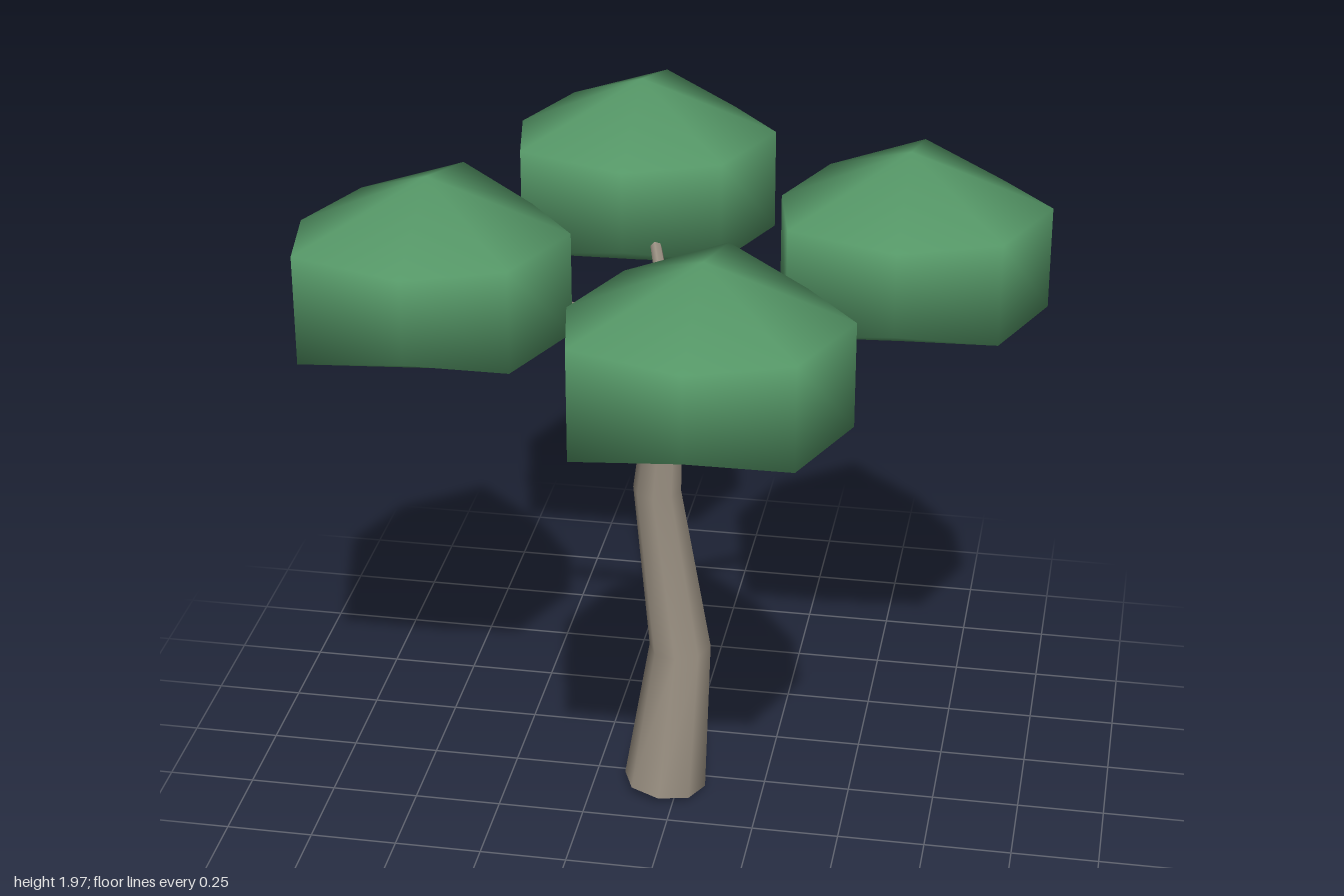
import * as THREE from 'three';
import { mergeVertices } from 'three/addons/utils/BufferGeometryUtils.js';

const bark = new THREE.MeshStandardMaterial({ color: 0x9a9082 });
const leaf = new THREE.MeshStandardMaterial({ color: 0x579a69 });

// Drop normals and uvs, weld the vertices and shade smoothly
function smooth(geometry) {
  geometry.deleteAttribute('normal');
  geometry.deleteAttribute('uv');
  const welded = mergeVertices(geometry, 1e-4);
  welded.computeVertexNormals();
  return welded;
}

function addMesh(parent, name, geometry, material) {
  const mesh = new THREE.Mesh(geometry, material);
  mesh.name = name;
  parent.add(mesh);
  return mesh;
}

// Bent trunk: a cylinder whose rings move to [x, y, z, radius, tiltX, tiltZ]
const SIDES = 8;
const rings = [
  [-0.04, 0.017, 0.055, 0.12, -0.1, 0.06],
  [0, 0.465, 0.025, 0.09, 0.05, 0],
  [-0.067, 0.97, 0.02, 0.069, 0, 0],
  [-0.025, 1.46, 0.045, 0.042, 0, 0],
];

function ringPoint([x, y, z, r, tiltX, tiltZ], px, pz) {
  return [x + px * r, y + px * r * tiltX + pz * r * tiltZ, z + pz * r];
}

function trunkGeometry() {
  const g = new THREE.CylinderGeometry(1, 1, 3, SIDES, 3, true);
  const p = g.attributes.position;
  for (let i = 0; i < p.count; i++) {
    const ring = rings[Math.round(p.getY(i) + 1.5)];
    p.setXYZ(i, ...ringPoint(ring, p.getX(i), p.getZ(i)));
  }
  return smooth(g);
}

function capGeometry(ring, up) {
  const g = new THREE.CircleGeometry(1, SIDES, Math.PI / 2);
  g.rotateX(up ? -Math.PI / 2 : Math.PI / 2);
  const p = g.attributes.position;
  for (let i = 0; i < p.count; i++) p.setXYZ(i, ...ringPoint(ring, p.getX(i), p.getZ(i)));
  g.computeVertexNormals();
  return g;
}

// Leaf clump: two rings of eight corners between two poles, with uneven radii
// running from the back corner round through +x, front and -x
const radii = [0.42, 0.332, 0.39, 0.391, 0.325, 0.417, 0.352, 0.353];

function clumpGeometry() {
  const g = new THREE.SphereGeometry(1, 8, 3);
  const p = g.attributes.position;
  for (let i = 0; i < p.count; i++) {
    const x = p.getX(i), y = p.getY(i), z = p.getZ(i);
    if (Math.abs(y) > 0.9) {
      p.setXYZ(i, 0, Math.sign(y) * 0.2825, 0);
      continue;
    }
    const k = (Math.round(Math.atan2(x, -z) / (Math.PI / 4)) + 8) % 8;
    const a = k * Math.PI / 4;
    const r = radii[k];
    p.setXYZ(i, Math.sin(a) * r, Math.sign(y) * r * 0.372, -Math.cos(a) * r);
  }
  return smooth(g);
}

// Tapered branch between two points
function addBranch(parent, from, to) {
  const dir = to.clone().sub(from);
  const g = new THREE.CylinderGeometry(0.011, 0.023, dir.length(), 6);
  const branch = addMesh(parent, 'branch', g, bark);
  branch.position.copy(from).addScaledVector(dir, 0.5);
  branch.quaternion.setFromUnitVectors(new THREE.Vector3(0, 1, 0), dir.normalize());
}

export function createModel() {
  const tree = new THREE.Group();
  tree.name = 'tree';

  addMesh(tree, 'trunk', trunkGeometry(), bark);
  addMesh(tree, 'trunkBase', capGeometry(rings[0], false), bark);
  addMesh(tree, 'trunkTop', capGeometry(rings[3], true), bark);

  // Four clumps, each carried by its own branch
  const clump = clumpGeometry();
  const fork = new THREE.Vector3(-0.022, 1.455, 0.042);
  const spots = [[0.605, -0.15], [0.17, 0.67], [-0.215, -0.58], [-0.648, 0.24]];
  for (const [x, z] of spots) {
    addBranch(tree, fork, new THREE.Vector3(x, 1.71, z));
    addMesh(tree, 'leafClump', clump, leaf).position.set(x, 1.6875, z);
  }
  return tree;
}
